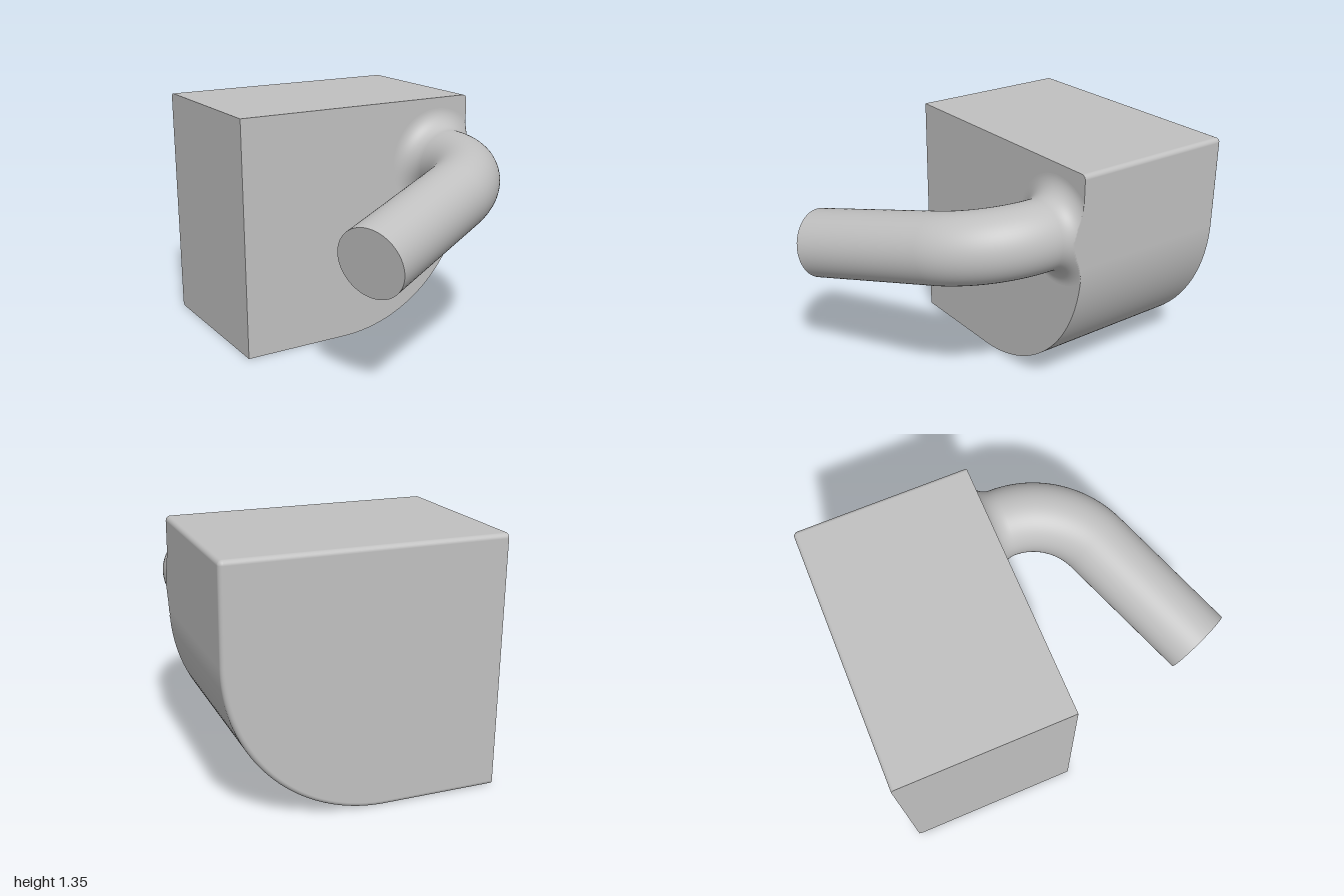
import * as THREE from 'three';

const W = 0.727, H = 1.345, BACK = -1, FRONT = -0.04; // block extents
const BIG = 0.84, EDGE = 0.025;                       // corner and edge radii
const PIPE = 0.192, FLARE = 0.11, PX = 0.52, PY = 0.98; // pipe root

// Block outline, counter-clockwise from lower left: position plus outward normal
function outline(inset) {
  const pts = [{ x: -W, y: inset, nx: 0, ny: -1 }];
  const arc = (cx, cy, r, a0, a1, n) => {
    for (let i = 0; i <= n; i++) {
      const a = a0 + (a1 - a0) * i / n, nx = Math.cos(a), ny = Math.sin(a);
      pts.push({ x: cx + (r - inset) * nx, y: cy + (r - inset) * ny, nx, ny });
    }
  };
  arc(W - BIG, BIG, BIG, -Math.PI / 2, 0, 48);
  arc(W - EDGE, H - EDGE, EDGE, 0, Math.PI / 2, 6);
  pts.push({ x: -W, y: H - inset, nx: 0, ny: 1 });
  return pts;
}

// Walls of the block, rolling over into the back face
function wallGeometry() {
  const rings = [{ z: FRONT, phi: 0 }];
  for (let i = 0; i <= 6; i++) {
    const phi = i / 6 * Math.PI / 2;
    rings.push({ z: BACK + EDGE - EDGE * Math.sin(phi), phi });
  }
  const pos = [], nor = [], idx = [];
  const n = outline(0).length;
  rings.forEach(({ z, phi }, j) => {
    outline(EDGE * (1 - Math.cos(phi))).forEach((p, i) => {
      pos.push(p.x, p.y, z);
      nor.push(p.nx * Math.cos(phi), p.ny * Math.cos(phi), -Math.sin(phi));
      if (j > 0 && i > 0) {
        const b = j * n + i, a = b - n;
        idx.push(a - 1, b - 1, a, a, b - 1, b);
      }
    });
  });
  const g = new THREE.BufferGeometry();
  g.setAttribute('position', new THREE.Float32BufferAttribute(pos, 3));
  g.setAttribute('normal', new THREE.Float32BufferAttribute(nor, 3));
  g.setIndex(idx);
  return g;
}

function faceGeometry(inset) {
  return new THREE.ShapeGeometry(new THREE.Shape(outline(inset).map(p => new THREE.Vector2(p.x, p.y))));
}

// Flat left-hand wall (-x), with the rounded back corners
function sideGeometry() {
  const s = new THREE.Shape();
  s.moveTo(FRONT, 0);
  s.lineTo(FRONT, H);
  s.lineTo(BACK + EDGE, H);
  s.absarc(BACK + EDGE, H - EDGE, EDGE, Math.PI / 2, Math.PI, false);
  s.lineTo(BACK, EDGE);
  s.absarc(BACK + EDGE, EDGE, EDGE, Math.PI, Math.PI * 1.5, false);
  return new THREE.ShapeGeometry(s, 6).rotateY(-Math.PI / 2).translate(-W, 0, 0);
}

// Fillet between block and pipe, cut off flush with the block's +x wall
function flareGeometry() {
  const prof = [];
  for (let i = 0; i <= 20; i++) {
    const a = i / 20 * Math.PI / 2;
    prof.push(new THREE.Vector2(PIPE + FLARE * (1 - Math.sin(a)), FRONT + FLARE * (1 - Math.cos(a))));
  }
  const g = new THREE.LatheGeometry(prof, 128).rotateX(Math.PI / 2);
  // keep front-facing orientation while placing at the pipe root
  g.translate(PX, PY, 0);
  const p = g.attributes.position, nrm = g.attributes.normal;
  for (let i = 0; i < p.count; i++) {
    if (p.getX(i) > W) {
      p.setX(i, W);
      nrm.setXYZ(i, 1, 0, 0);
    }
  }
  return g;
}

export function createModel() {
  const gray = new THREE.MeshStandardMaterial({ color: 0xc0c0c0 });
  gray.name = 'light gray';
  const model = new THREE.Group();
  model.name = 'bentPipeOnBlock';
  const add = (parent, name, geometry) => {
    const m = new THREE.Mesh(geometry, gray);
    m.name = name;
    parent.add(m);
    return m;
  };

  // Block with one large rounded corner
  const block = new THREE.Group();
  block.name = 'block';
  model.add(block);
  add(block, 'blockWalls', wallGeometry());
  add(block, 'blockFront', faceGeometry(0).translate(0, 0, FRONT));
  add(block, 'blockBack', faceGeometry(EDGE).scale(-1, 1, 1).rotateY(Math.PI).translate(0, 0, BACK))
    .geometry.dispose();
  const back = block.getObjectByName('blockBack');
  back.geometry = faceGeometry(EDGE).translate(0, 0, BACK);
  const ix = back.geometry.index; // reverse the corners so it faces -z
  for (let i = 0; i < ix.count; i += 3) {
    const t = ix.getX(i);
    ix.setX(i, ix.getX(i + 1));
    ix.setX(i + 1, t);
  }
  const bn = back.geometry.attributes.normal;
  for (let i = 0; i < bn.count; i++) bn.setXYZ(i, 0, 0, -1);
  add(block, 'blockSide', sideGeometry());

  // Pipe: short straight root, circular bend, straight arm
  const pipe = new THREE.Group();
  pipe.name = 'pipe';
  model.add(pipe);
  const corner = new THREE.Vector3(PX, PY, 0.39);
  const end = new THREE.Vector3(-0.475, 0.765, 0.822);
  const dir = end.clone().sub(corner).normalize();
  const T = 0.32, theta = Math.acos(dir.z);
  const handle = 4 / 3 * Math.tan(theta / 4) * T / Math.tan(theta / 2);
  const bendStart = new THREE.Vector3(PX, PY, corner.z - T);
  const bendEnd = corner.clone().addScaledVector(dir, T);
  const path = new THREE.CurvePath();
  path.add(new THREE.LineCurve3(new THREE.Vector3(PX, PY, 0.02), bendStart));
  path.add(new THREE.CubicBezierCurve3(
    bendStart,
    bendStart.clone().add(new THREE.Vector3(0, 0, handle)),
    bendEnd.clone().addScaledVector(dir, -handle),
    bendEnd));
  path.add(new THREE.LineCurve3(bendEnd, end));
  add(pipe, 'pipeTube', new THREE.TubeGeometry(path, 96, PIPE, 64, false));
  add(pipe, 'pipeFlare', flareGeometry());

  // Flat end of the pipe
  const cap = add(pipe, 'pipeEnd', new THREE.CircleGeometry(PIPE, 64));
  cap.position.copy(end);
  cap.quaternion.setFromUnitVectors(new THREE.Vector3(0, 0, 1), dir);

  return model;
}
